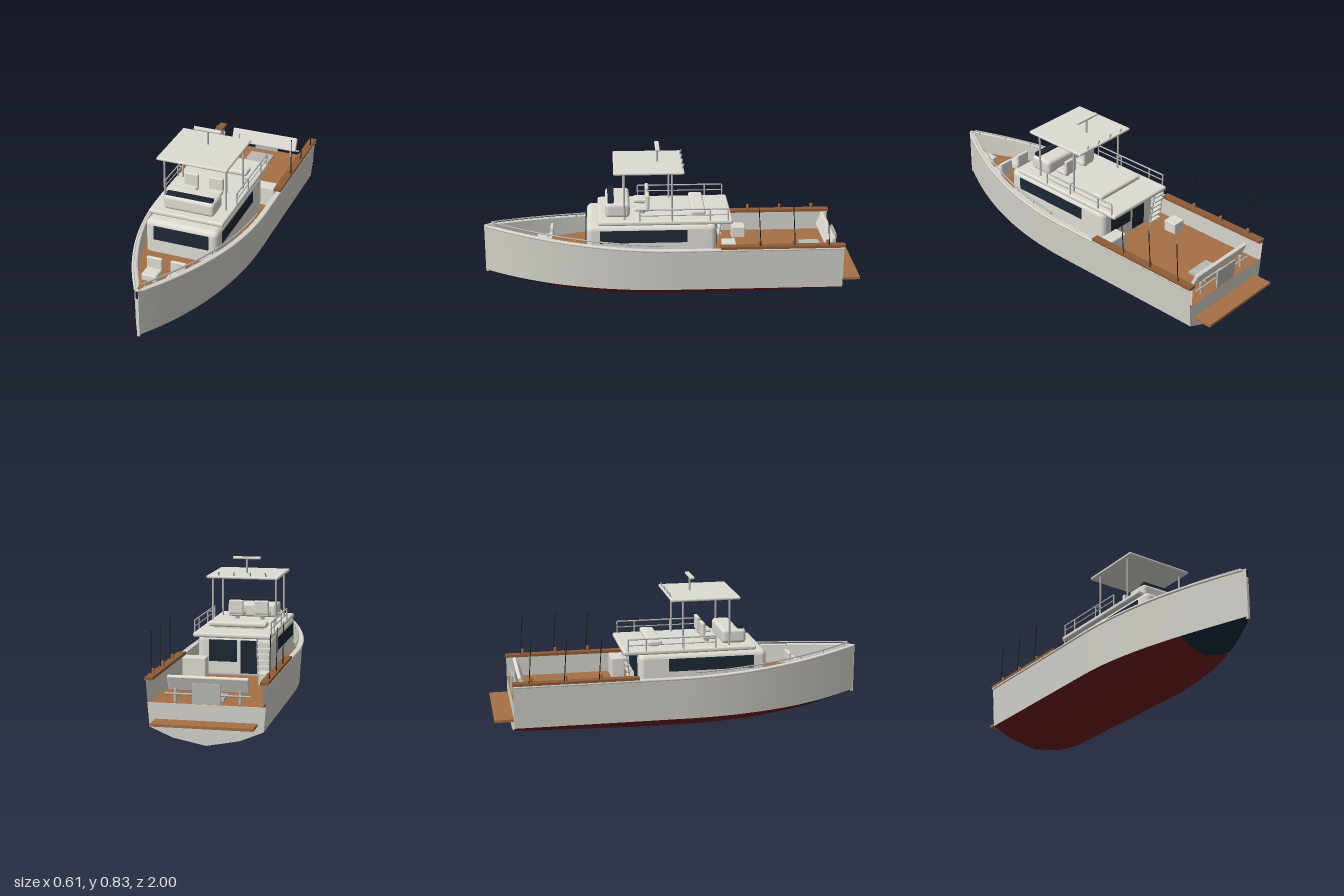
import * as THREE from 'three';
import { RoundedBoxGeometry } from 'three/addons/geometries/RoundedBoxGeometry.js';

const mat = (name, color, side = THREE.FrontSide) => {
  const m = new THREE.MeshStandardMaterial({ color, side });
  m.name = name;
  return m;
};

export function createModel() {
  const boat = new THREE.Group();
  boat.name = 'motorBoat';
  const white = mat('hullWhite', 0xd6d4cc, THREE.DoubleSide);
  const gel = mat('cabinWhite', 0xdedcd4);
  const red = mat('bottomRed', 0x6e1d20, THREE.DoubleSide);
  const navy = mat('bowNavy', 0x14283a, THREE.DoubleSide);
  const teak = mat('teak', 0xa56f45, THREE.DoubleSide);
  const darkTeak = mat('darkTeak', 0x8f5c36);
  const glass = mat('darkGlass', 0x1d2833);
  const steel = mat('steel', 0xb9bab6);
  const black = mat('rodBlack', 0x1a1a1a);

  const add = (name, geo, m, x = 0, y = 0, z = 0, parent = boat) => {
    const mesh = new THREE.Mesh(geo, m);
    mesh.name = name;
    mesh.position.set(x, y, z);
    parent.add(mesh);
    return mesh;
  };
  // box given by its limits, optionally rounded
  const box = (name, m, x0, x1, y0, y1, z0, z1, r = 0) => {
    const s = [x1 - x0, y1 - y0, z1 - z0];
    const g = r ? new RoundedBoxGeometry(...s, 4, r) : new THREE.BoxGeometry(...s);
    return add(name, g, m, (x0 + x1) / 2, (y0 + y1) / 2, (z0 + z1) / 2);
  };
  // straight round bar between two points
  const bar = (name, m, a, b, r) => {
    const p = new THREE.Vector3(...a), q = new THREE.Vector3(...b);
    const mesh = add(name, new THREE.CylinderGeometry(r, r, p.distanceTo(q), 10), m);
    mesh.position.copy(p).add(q).multiplyScalar(0.5);
    mesh.quaternion.setFromUnitVectors(new THREE.Vector3(0, 1, 0), q.sub(p).normalize());
    return mesh;
  };
  const tube = (name, m, pts, r) => {
    const c = new THREE.CatmullRomCurve3(pts.map(p => new THREE.Vector3(...p)));
    return add(name, new THREE.TubeGeometry(c, 48, r, 8), m);
  };

  // Hull lines as functions of z
  const fore = z => Math.max(z, 0);
  const plan = z => 1 - fore(z) ** 2;
  const sheer = z => [0.006 + 0.291 * plan(z), 0.342 + 0.053 * fore(z) ** 1.6, z];
  const chine = z => [0.005 + 0.275 * plan(z), 0.113 + 0.027 * fore(z) ** 4, z];
  const keel = z => [0, z > 0 ? 0.002 + 0.134 * z ** 2.2 : 0.002 + 0.03 * (z / 0.9) ** 2, z];
  const knuckle = z => {
    const k = keel(z)[1];
    return [0.165 * plan(z), k + 0.4 * (chine(z)[1] - k), z];
  };
  const inner = z => [Math.max(sheer(z)[0] - 0.022, 0), sheer(z)[1], z];
  const deckY = z => 0.235 + 0.03 * THREE.MathUtils.clamp((z + 0.24) / 0.3, 0, 1);
  const deckEdge = z => [inner(z)[0], deckY(z), z];
  const deckMid = z => [0, deckY(z), z];

  // surface between two hull lines, on both sides
  const strip = (name, m, lineA, lineB, z0, z1, n = 32) => {
    for (const s of [1, -1]) {
      const pos = [], idx = [];
      for (let i = 0; i <= n; i++) {
        const z = z0 + (z1 - z0) * i / n;
        for (const [x, y] of [lineA(z), lineB(z)]) pos.push(s * x, y, z);
        const k = i * 2;
        if (i < n) idx.push(...(s > 0 ? [k, k + 2, k + 1, k + 1, k + 2, k + 3] : [k, k + 1, k + 2, k + 1, k + 3, k + 2]));
      }
      const g = new THREE.BufferGeometry();
      g.setAttribute('position', new THREE.Float32BufferAttribute(pos, 3));
      g.setIndex(idx);
      g.computeVertexNormals();
      add(name, g, m);
    }
  };
  strip('topsides', white, sheer, chine, -0.9, 1);
  for (const [m, a, b] of [[red, -0.9, 0.67], [navy, 0.67, 1]]) {
    strip('bottomOuter', m, chine, knuckle, a, b);
    strip('bottomInner', m, knuckle, keel, a, b);
  }
  strip('bulwarkInside', white, inner, deckEdge, -0.9, 1);
  strip('bulwarkTop', white, sheer, inner, -0.9, 1);
  strip('deck', teak, deckEdge, deckMid, -0.9, 0.99);

  // Transom, open above deck height
  const t = new THREE.Shape();
  const half = [[0.291, 0.235], chine(-0.9), knuckle(-0.9)];
  t.moveTo(...keel(-0.9).slice(0, 2));
  for (const p of [...half].reverse()) t.lineTo(p[0], p[1]);
  for (const p of half) t.lineTo(-p[0], p[1]);
  add('transom', new THREE.ShapeGeometry(t), white, 0, 0, -0.9);
  box('swimPlatform', teak, -0.25, 0.25, 0.14, 0.154, -1, -0.895);
  box('stem', gel, -0.007, 0.007, 0.13, 0.395, 0.985, 1);
  box('bowRoller', glass, -0.006, 0.006, 0.35, 0.392, 0.994, 1.001);

  // Rub rails, side caps, bow rails and fishing rods
  for (const s of [1, -1]) {
    const along = (z0, z1, dx, dy) => Array.from({ length: 13 }, (_, i) => {
      const z = z0 + (z1 - z0) * i / 12, [x, y] = sheer(z);
      return [s * Math.max(x + dx, 0.003), y + dy, z];
    });
    tube('rubRail', gel, along(-0.9, 0.985, 0, -0.004), 0.007);
    tube('bowRail', steel, along(0.05, 0.96, -0.025, 0.018), 0.004);
    for (const p of along(0.08, 0.94, -0.025, 0).filter((_, i) => i % 2 === 0))
      bar('bowRailPost', steel, p, [p[0], p[1] + 0.018, p[2]], 0.003);
    box('sideCap', darkTeak, Math.min(s * 0.262, s * 0.303), Math.max(s * 0.262, s * 0.303), 0.343, 0.357, -0.905, -0.25);
    for (const z of [-0.45, -0.63, -0.81]) {
      bar('rodHolder', teak, [s * 0.285, 0.355, z], [s * 0.285, 0.382, z], 0.008);
      bar('rod', black, [s * 0.293, 0.355, z - 0.01], [s * 0.294, 0.57, z + 0.005], 0.0022);
    }
  }

  // Cabin with rounded corners and windows
  box('cabin', gel, -0.2, 0.2, 0.22, 0.447, -0.235, 0.45, 0.03);
  box('frontWindow', glass, -0.152, 0.152, 0.34, 0.42, 0.447, 0.456, 0.004);
  for (const s of [1, -1]) {
    const w = box('sideWindow', glass, -0.004, 0.004, 0.352, 0.42, -0.08, 0.38);
    w.position.x = s * 0.199;
  }
  box('rearWindow', glass, -0.01, 0.14, 0.31, 0.425, -0.239, -0.231);
  box('cabinDoor', glass, -0.12, -0.03, 0.25, 0.425, -0.239, -0.231);
  box('flybridgeDeck', gel, -0.207, 0.207, 0.449, 0.474, -0.32, 0.39, 0.01);

  // Ladder, step and locker behind the cabin
  for (const x of [-0.2, -0.13]) bar('ladderSide', steel, [x, 0.24, -0.275], [x, 0.455, -0.305], 0.004);
  for (let i = 0; i < 6; i++) {
    const y = 0.265 + i * 0.032, z = -0.278 - i * 0.0045;
    box('ladderRung', gel, -0.2, -0.13, y, y + 0.007, z - 0.01, z + 0.01);
  }
  box('step', gel, -0.235, -0.16, 0.23, 0.295, -0.425, -0.35, 0.005);
  box('locker', gel, 0.135, 0.26, 0.23, 0.345, -0.338, -0.265, 0.006);

  // Flybridge: helm console, seats and bench
  box('helmConsole', gel, -0.14, 0.14, 0.47, 0.55, 0.22, 0.35, 0.02);
  box('helmScreen', glass, -0.127, 0.127, 0.545, 0.565, 0.305, 0.335).rotation.x = -0.25;
  for (const x of [-0.07, 0.07]) {
    bar('seatPedestal', steel, [x, 0.47, 0.15], [x, 0.5, 0.15], 0.012);
    box('helmSeat', gel, x - 0.04, x + 0.04, 0.492, 0.513, 0.12, 0.195, 0.008);
    box('helmSeatBack', gel, x - 0.04, x + 0.04, 0.505, 0.582, 0.115, 0.135, 0.008);
  }
  box('aftBench', gel, -0.155, 0.155, 0.483, 0.511, -0.18, -0.105, 0.012);
  box('aftBenchBase', gel, -0.13, 0.13, 0.47, 0.49, -0.165, -0.12);

  // Flybridge rails and hardtop posts
  for (const s of [1, -1]) {
    const x = s * 0.202;
    bar('flyRail', steel, [x, 0.535, 0.17], [x, 0.535, -0.295], 0.004);
    bar('flyMidRail', steel, [x, 0.503, 0.17], [x, 0.503, -0.295], 0.003);
    bar('flyRailEnd', steel, [x, 0.535, 0], [s * 0.17, 0.535, 0], 0.004);
    for (const z of [0.17, 0, -0.2, -0.295]) bar('flyRailPost', steel, [x, 0.47, z], [x, 0.535, z], 0.004);
    for (const z of [0.25, 0]) bar('hardtopPost', steel, [s * 0.172, 0.47, z], [s * 0.172, 0.726, z], 0.0055);
  }
  box('hardtop', gel, -0.195, 0.195, 0.722, 0.738, -0.065, 0.305, 0.007);
  for (const x of [-0.127, -0.044, 0.044, 0.127])
    bar('topRodHolder', steel, [x, 0.735, -0.055], [x, 0.76, -0.064], 0.004);
  bar('radarMast', steel, [0, 0.735, 0.07], [0, 0.818, 0.07], 0.005);
  box('radarBar', gel, -0.076, 0.076, 0.814, 0.828, 0.058, 0.082, 0.005);

  // Foredeck: two seats, hatch and windlass
  for (const x of [-0.065, 0.065]) {
    box('bowSeat', gel, x - 0.042, x + 0.042, 0.26, 0.3, 0.64, 0.72, 0.008);
    box('bowSeatBack', gel, x - 0.042, x + 0.042, 0.29, 0.36, 0.63, 0.648, 0.007);
  }
  box('deckHatch', teak, -0.07, 0.07, 0.26, 0.272, 0.52, 0.605);
  box('windlass', gel, -0.016, 0.016, 0.26, 0.295, 0.8, 0.89, 0.006);

  // Cockpit: stern bench, gate panel and deck plate
  const back = box('sternBenchBack', gel, -0.2, 0.2, 0.285, 0.365, -0.858, -0.838, 0.006);
  back.rotation.x = -0.4;
  bar('sternRail', steel, [-0.21, 0.275, -0.87], [0.21, 0.275, -0.87], 0.005);
  for (const x of [-0.16, 0.16]) bar('benchLeg', steel, [x, 0.23, -0.865], [x, 0.3, -0.86], 0.008);
  box('sternGate', steel, -0.07, 0.07, 0.225, 0.335, -0.896, -0.888);
  box('deckPlate', steel, -0.07, 0.07, 0.235, 0.25, -0.82, -0.71);

  return boat;
}
